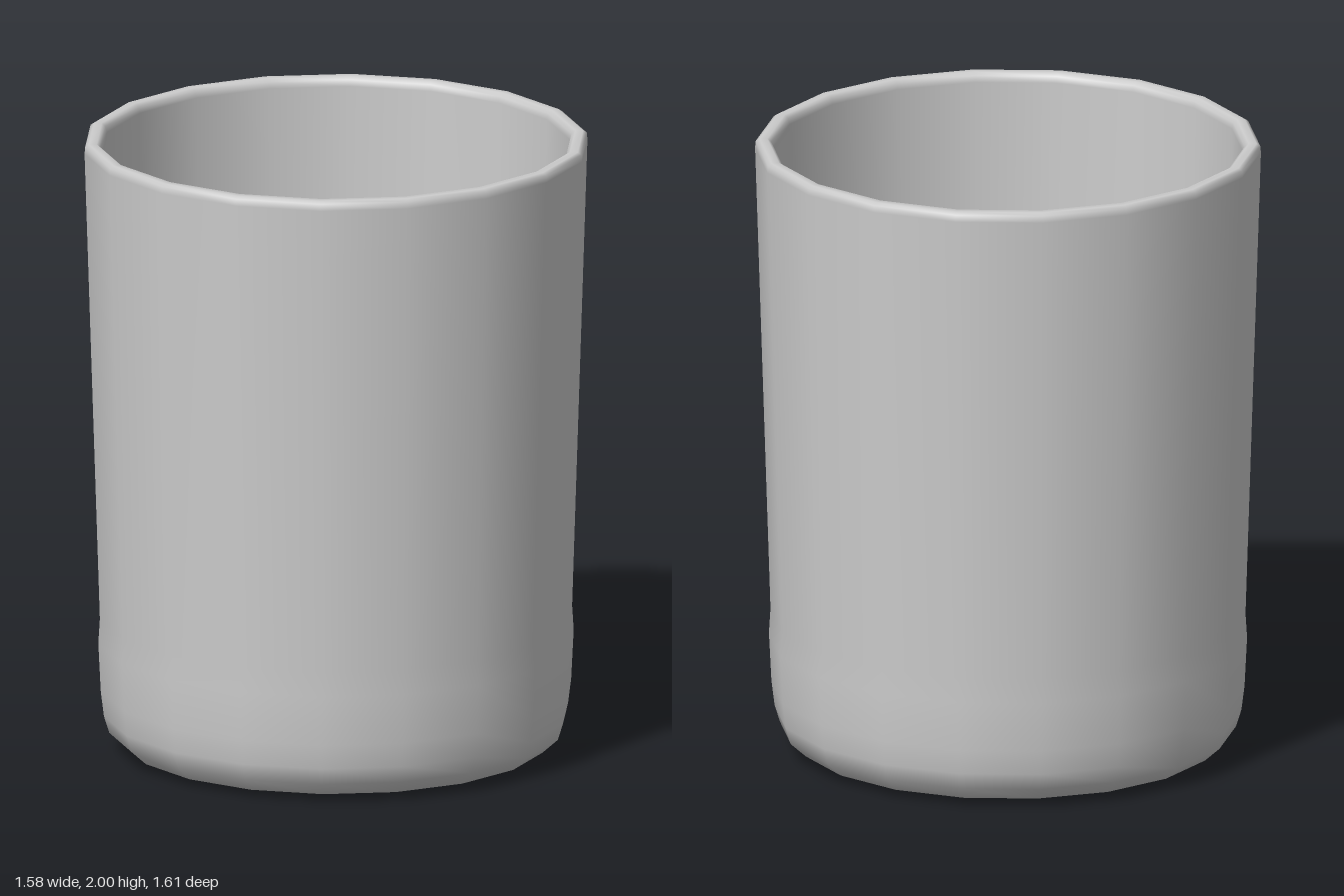
import * as THREE from 'three';
import { RoundedBoxGeometry } from 'three/addons/geometries/RoundedBoxGeometry.js';

export function createModel() {
  const model = new THREE.Group();
  model.name = 'tumblerWithIce';
  const material = new THREE.MeshStandardMaterial({ color: 0xcccccc });

  function add(name, geometry) {
    const mesh = new THREE.Mesh(geometry, material);
    mesh.name = name;
    model.add(mesh);
    return mesh;
  }

  // Tumbler: 18-sided profile running from under the base, up and over the rim, down to the inner floor
  const profile = [
    [0, 0], [0.58, 0], [0.61, 0.003], [0.675, 0.02], [0.725, 0.065], [0.742, 0.12],
    [0.752, 0.2], [0.76, 0.36], [0.755, 0.44], [0.804, 1.97], [0.802, 1.992],
    [0.79, 2], [0.765, 2], [0.753, 1.99], [0.748, 1.97],
    [0.716, 0.47], [0.7, 0.42], [0.66, 0.385], [0.59, 0.37], [0, 0.365],
  ].map(([r, y]) => new THREE.Vector2(r, y));
  add('tumbler', new THREE.LatheGeometry(profile, 18));

  // Large ice cube, tipped to one side
  const large = add('largeIceCube', new RoundedBoxGeometry(0.42, 0.42, 0.42, 2, 0.03));
  large.position.set(-0.09, 0.43, -0.195);
  large.rotation.set(0, 0.436, -0.18);

  // Small ice piece, rolled onto an edge and partly sunk
  const small = add('smallIcePiece', new RoundedBoxGeometry(0.42, 0.24, 0.24, 2, 0.02));
  small.position.set(-0.275, 0.3, 0.27);
  small.rotation.set(0.75, 1.13, -0.1, 'YZX');

  return model;
}
